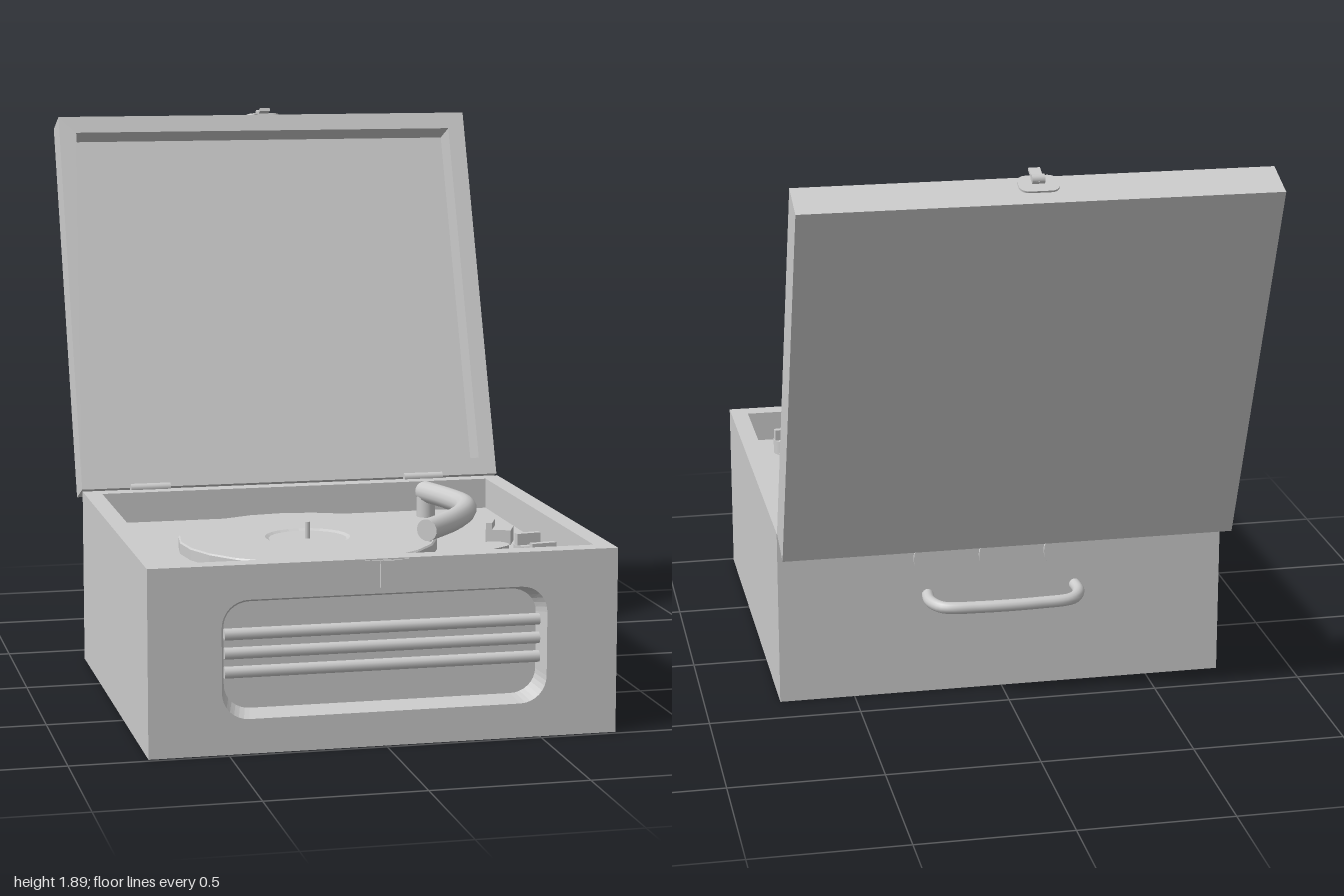
import * as THREE from 'three';

const material = new THREE.MeshStandardMaterial({ color: 0xcccccc });

function add(parent, name, geometry, x = 0, y = 0, z = 0) {
  const mesh = new THREE.Mesh(geometry, material);
  mesh.name = name;
  mesh.position.set(x, y, z);
  parent.add(mesh);
  return mesh;
}

const box = (w, h, d) => new THREE.BoxGeometry(w, h, d);
const disc = (r, h, n = 24, r2 = r) => new THREE.CylinderGeometry(r, r2, h, n);
const extrude = (shape, depth, curveSegments = 6) =>
  new THREE.ExtrudeGeometry(shape, { depth, bevelEnabled: false, curveSegments });
const polygon = (pts) => new THREE.Shape(pts.map(([x, y]) => new THREE.Vector2(x, y)));

// Rounded rectangle around a centre
function rounded(path, cx, cy, w, h, r) {
  const x = w / 2, y = h / 2;
  path.absarc(cx + x - r, cy + y - r, r, 0, Math.PI / 2);
  path.absarc(cx - x + r, cy + y - r, r, Math.PI / 2, Math.PI);
  path.absarc(cx - x + r, cy - y + r, r, Math.PI, Math.PI * 1.5);
  path.absarc(cx + x - r, cy - y + r, r, Math.PI * 1.5, Math.PI * 2);
  path.closePath();
  return path;
}

function tube(pts, r, segments = 32) {
  const curve = new THREE.CatmullRomCurve3(pts.map((p) => new THREE.Vector3(...p)));
  return { curve, geometry: new THREE.TubeGeometry(curve, segments, r, 14) };
}

const W = 0.75, IN = 0.69, FRONT = 0.985, BACK = -0.37, TOP = 0.595, DECK = 0.49;

function makeCase() {
  const g = new THREE.Group();
  g.name = 'case';

  // Side and back walls in one U, mitred to the front panel
  const u = polygon([[-W, -FRONT], [-IN, -0.92], [-IN, 0.31], [IN, 0.31],
    [IN, -0.92], [W, -FRONT], [W, -BACK], [-W, -BACK]]);
  add(g, 'sideAndBackWalls', extrude(u, TOP).rotateX(-Math.PI / 2));

  // Front panel with a tapered rounded window
  const panel = polygon([[-W, 0], [W, 0], [W, TOP], [-W, TOP]]);
  panel.holes.push(rounded(new THREE.Path(), 0, 0.2975, 1.04, 0.375, 0.085));
  const front = extrude(panel, 0.065, 4);
  const p = front.attributes.position;
  for (let i = 0; i < p.count; i++) {
    if (p.getZ(i) > 0.01) continue;
    const x = p.getX(i), y = p.getY(i);
    if (Math.abs(x) > 0.74) p.setX(i, Math.sign(x) * IN);
    else p.setXY(i, x * 0.965, 0.2975 + (y - 0.2975) * 0.9);
  }
  front.computeVertexNormals();
  add(g, 'frontPanel', front, 0, 0, 0.92);
  add(g, 'windowBacking', box(1.3, 0.46, 0.02), 0, 0.25, 0.91);
  for (const y of [0.25, 0.31, 0.37])
    add(g, 'grilleBar', disc(0.019, 1.01, 12).rotateZ(Math.PI / 2), 0, y, 0.943);

  add(g, 'bottom', new THREE.PlaneGeometry(2 * W, FRONT - BACK).rotateX(Math.PI / 2), 0, 0, (FRONT + BACK) / 2);
  add(g, 'deck', box(2 * IN, 0.02, 1.23), 0, DECK - 0.01, 0.305);

  // Front catch
  add(g, 'catchPlate', box(0.14, 0.012, 0.006), 0, TOP - 0.01, FRONT + 0.003);
  add(g, 'catchBar', box(0.044, 0.085, 0.013), 0, 0.548, FRONT + 0.0065);

  // Back sockets and carrying handle
  for (const x of [-0.22, 0, 0.22])
    add(g, 'backDisc', disc(0.078, 0.012).rotateX(Math.PI / 2), x, 0.475, BACK - 0.006);
  const h = tube([[-0.25, 0.345, BACK + 0.01], [-0.25, 0.342, -0.43], [-0.215, 0.34, -0.485], [-0.1, 0.34, -0.502],
    [0.1, 0.34, -0.502], [0.215, 0.34, -0.485], [0.25, 0.342, -0.43], [0.25, 0.345, BACK + 0.01]], 0.02, 48);
  add(g, 'handle', h.geometry);
  return g;
}

function makeLid() {
  const g = new THREE.Group();
  g.name = 'lid';
  const H = 1.36, D = 0.14;
  const rim = polygon([[-W, 0], [W, 0], [W, H], [-W, H]]);
  rim.holes.push(new THREE.Path([[-IN, 0.06], [-IN, H - 0.06], [IN, H - 0.06], [IN, 0.06]]
    .map(([x, y]) => new THREE.Vector2(x, y))));
  add(g, 'lidRim', extrude(rim, D), 0, 0, -D);
  add(g, 'lidInside', box(2 * IN, H - 0.12, 0.025), 0, H / 2, -0.1245);
  add(g, 'lidBack', new THREE.PlaneGeometry(2 * W, H).rotateY(Math.PI), 0, H / 2, -D - 0.0005);

  // Latch on the top edge
  const plate = rounded(new THREE.Shape(), 0, 0.042, 0.126, 0.085, 0.03);
  add(g, 'latchPlate', extrude(plate, 0.006).rotateX(-Math.PI / 2), 0, H, 0);
  add(g, 'latchHook', box(0.036, 0.01, 0.075), 0, H + 0.01, -0.008);
  add(g, 'latchPin', disc(0.016, 0.04, 12).rotateZ(Math.PI / 2), 0, H + 0.012, -0.03);

  g.position.set(0, 0.6, -0.38);
  g.rotation.x = THREE.MathUtils.degToRad(-21);
  return g;
}

function makeHinge(x) {
  const g = new THREE.Group();
  g.name = 'hinge';
  add(g, 'hingeBarrel', disc(0.015, 0.14, 12).rotateZ(Math.PI / 2), 0, 0.6, BACK - 0.004);
  const tab = new THREE.Shape();
  tab.moveTo(0.07, 0.6).lineTo(-0.07, 0.6).lineTo(-0.07, 0.57);
  tab.absarc(0, 0.57, 0.07, Math.PI, Math.PI * 2);
  add(g, 'hingePlate', extrude(tab, 0.008, 12), 0, 0, BACK - 0.008);
  g.position.x = x;
  return g;
}

function makeTurntable() {
  const g = new THREE.Group();
  g.name = 'turntable';
  // Platter with a shallow dished centre
  const profile = [[0, 0.034], [0.13, 0.034], [0.142, 0.04], [0.425, 0.04], [0.43, 0.035], [0.43, 0]]
    .map(([r, y]) => new THREE.Vector2(r, y)).reverse();
  const lathe = new THREE.LatheGeometry(profile, 24).toNonIndexed();
  lathe.computeVertexNormals();
  add(g, 'platter', lathe, -0.09, DECK, 0.265);
  add(g, 'spindle', disc(0.009, 0.06, 10), -0.09, DECK + 0.06, 0.265);
  return g;
}

function makeTonearm() {
  const g = new THREE.Group();
  g.name = 'tonearm';
  const r = 0.037;
  const { curve, geometry } = tube([[0.44, 0.577, -0.205], [0.482, 0.577, -0.06], [0.502, 0.577, 0.08],
    [0.467, 0.576, 0.2], [0.385, 0.574, 0.33], [0.27, 0.57, 0.45]], r);
  add(g, 'arm', geometry);
  const tip = add(g, 'armTip', new THREE.CircleGeometry(r, 14), 0.27, 0.57, 0.45);
  tip.quaternion.setFromUnitVectors(new THREE.Vector3(0, 0, 1), curve.getTangent(1));
  add(g, 'stylus', disc(0.01, 0.035, 8, 0.004), 0.285, 0.54, 0.435);
  add(g, 'armEnd', new THREE.SphereGeometry(r, 14, 10), 0.44, 0.577, -0.205);
  add(g, 'armPost', disc(0.032, 0.09, 20), 0.44, DECK + 0.045, -0.2);
  // Arm rest
  add(g, 'armRest', box(0.085, 0.05, 0.085), 0.56, DECK + 0.025, 0.31).rotation.y = -0.4;
  add(g, 'armRestClip', box(0.02, 0.025, 0.085).translate(-0.03, 0, 0), 0.56, DECK + 0.06, 0.31).rotation.y = -0.4;
  return g;
}

function makeControls() {
  const g = new THREE.Group();
  g.name = 'controls';
  for (const z of [0.6, 0.77]) {
    add(g, 'knob', disc(0.045, 0.05), 0.57, DECK + 0.025, z);
    add(g, 'knobGrip', box(0.084, 0.04, 0.022), 0.57, DECK + 0.068, z).rotation.y = 0.15;
  }
  // Teardrop selector lever
  const lever = new THREE.Shape();
  lever.moveTo(0.16, -0.012).lineTo(0.16, 0.012);
  lever.absarc(0, 0, 0.046, 1.3, Math.PI * 2 - 1.3);
  lever.closePath();
  add(g, 'selectorBase', disc(0.042, 0.04), 0.43, DECK + 0.02, 0.7);
  add(g, 'selectorLever', extrude(lever, 0.035, 16).rotateX(-Math.PI / 2), 0.43, DECK + 0.04, 0.7)
    .rotation.y = Math.PI + Math.atan2(0.12, 0.11);
  return g;
}

export function createModel() {
  const model = new THREE.Group();
  model.name = 'portableRecordPlayer';
  model.add(makeCase(), makeLid(), makeHinge(-0.51), makeHinge(0.475),
    makeTurntable(), makeTonearm(), makeControls());
  return model;
}
